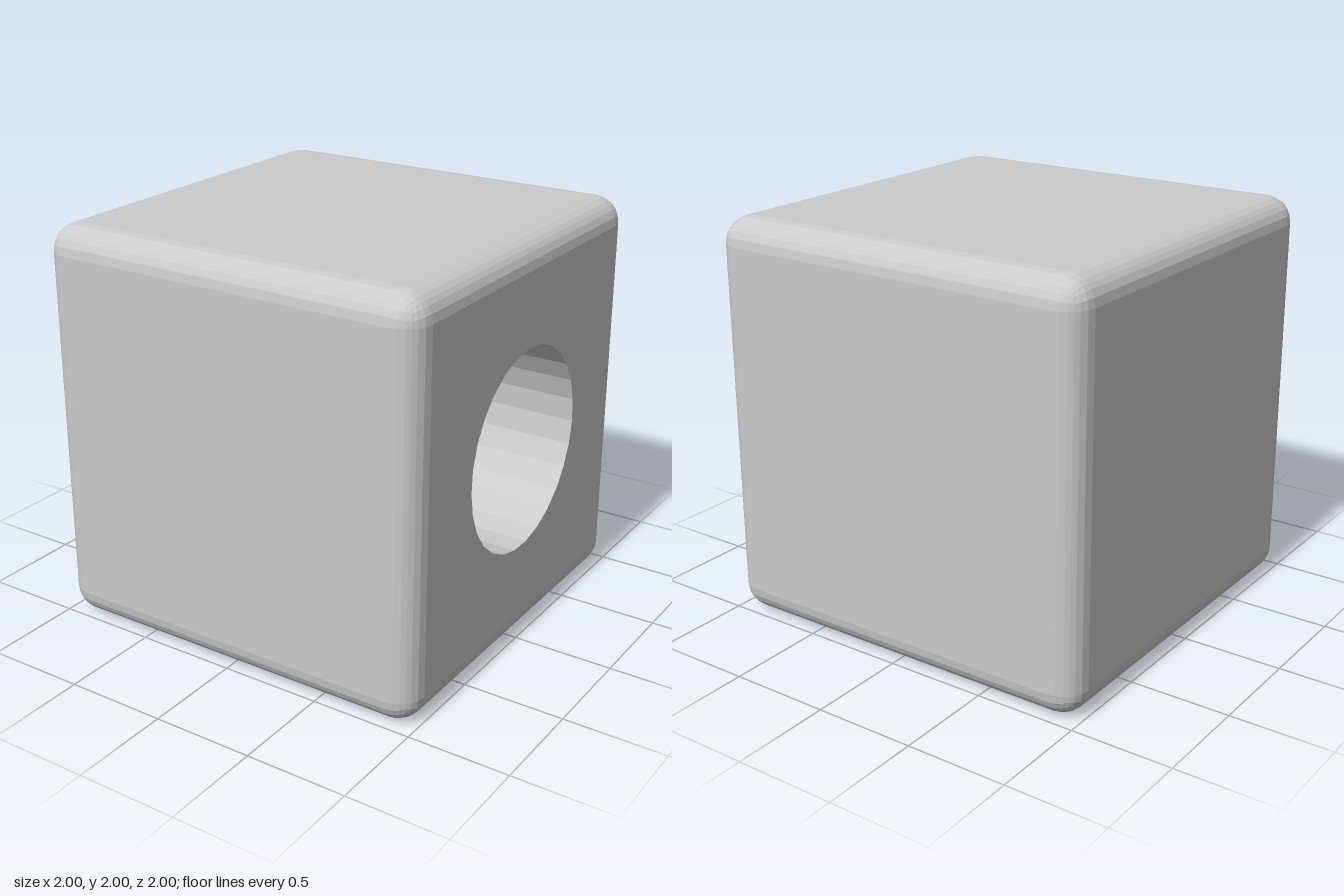
import * as THREE from 'three';
import { RoundedBoxGeometry } from 'three/addons/geometries/RoundedBoxGeometry.js';

const EDGE = 0.133;   // edge rounding radius
const BORE = 0.5;     // bore radius
const DEPTH = 1.0;    // bore depth
const SIDES = 27;

const material = new THREE.MeshStandardMaterial({ color: 0xcccccc, flatShading: true, side: THREE.DoubleSide });

function addPart(group, name, geometry) {
  const mesh = new THREE.Mesh(geometry, material);
  mesh.name = name;
  group.add(mesh);
}

// Rounded cube with its flat +x panel removed
function openRoundedCube() {
  const box = new RoundedBoxGeometry(2, 2, 2, 3, EDGE);
  const source = (box.index ? box.toNonIndexed() : box).attributes.position;
  const kept = [];
  for (let i = 0; i < source.count; i += 3) {
    const flat = [0, 1, 2].every((k) => source.getX(i + k) > 0.9999);
    if (flat) continue;
    for (let k = 0; k < 3; k++) kept.push(source.getX(i + k), source.getY(i + k), source.getZ(i + k));
  }
  const geometry = new THREE.BufferGeometry();
  geometry.setAttribute('position', new THREE.Float32BufferAttribute(kept, 3));
  geometry.computeVertexNormals();
  return geometry;
}

// Flat +x panel with the round opening
function panelWithOpening() {
  const h = 1 - EDGE;
  const shape = new THREE.Shape([[-h, -h], [h, -h], [h, h], [-h, h]].map(([x, y]) => new THREE.Vector2(x, y)));
  const rim = [];
  for (let i = 0; i < SIDES; i++) {
    const a = (i / SIDES) * Math.PI * 2;
    rim.push(new THREE.Vector2(BORE * Math.sin(a), BORE * Math.cos(a)));
  }
  shape.holes.push(new THREE.Path(rim));
  return new THREE.ShapeGeometry(shape).rotateY(Math.PI / 2).translate(1, 0, 0);
}

// Bore wall and flat floor, turned so the axis runs along x
function boreSurface() {
  const profile = [[0, 1 - DEPTH], [BORE, 1 - DEPTH], [BORE, 1]].map(([r, y]) => new THREE.Vector2(r, y));
  const turn = new THREE.Matrix4().makeBasis(
    new THREE.Vector3(0, 0, 1), new THREE.Vector3(1, 0, 0), new THREE.Vector3(0, 1, 0));
  return new THREE.LatheGeometry(profile, SIDES).applyMatrix4(turn);
}

export function createModel() {
  const group = new THREE.Group();
  group.name = 'boredCube';
  addPart(group, 'roundedBody', openRoundedCube());
  addPart(group, 'boredPanel', panelWithOpening());
  addPart(group, 'bore', boreSurface());
  group.children.forEach((mesh) => { mesh.position.y = 1; });
  return group;
}
